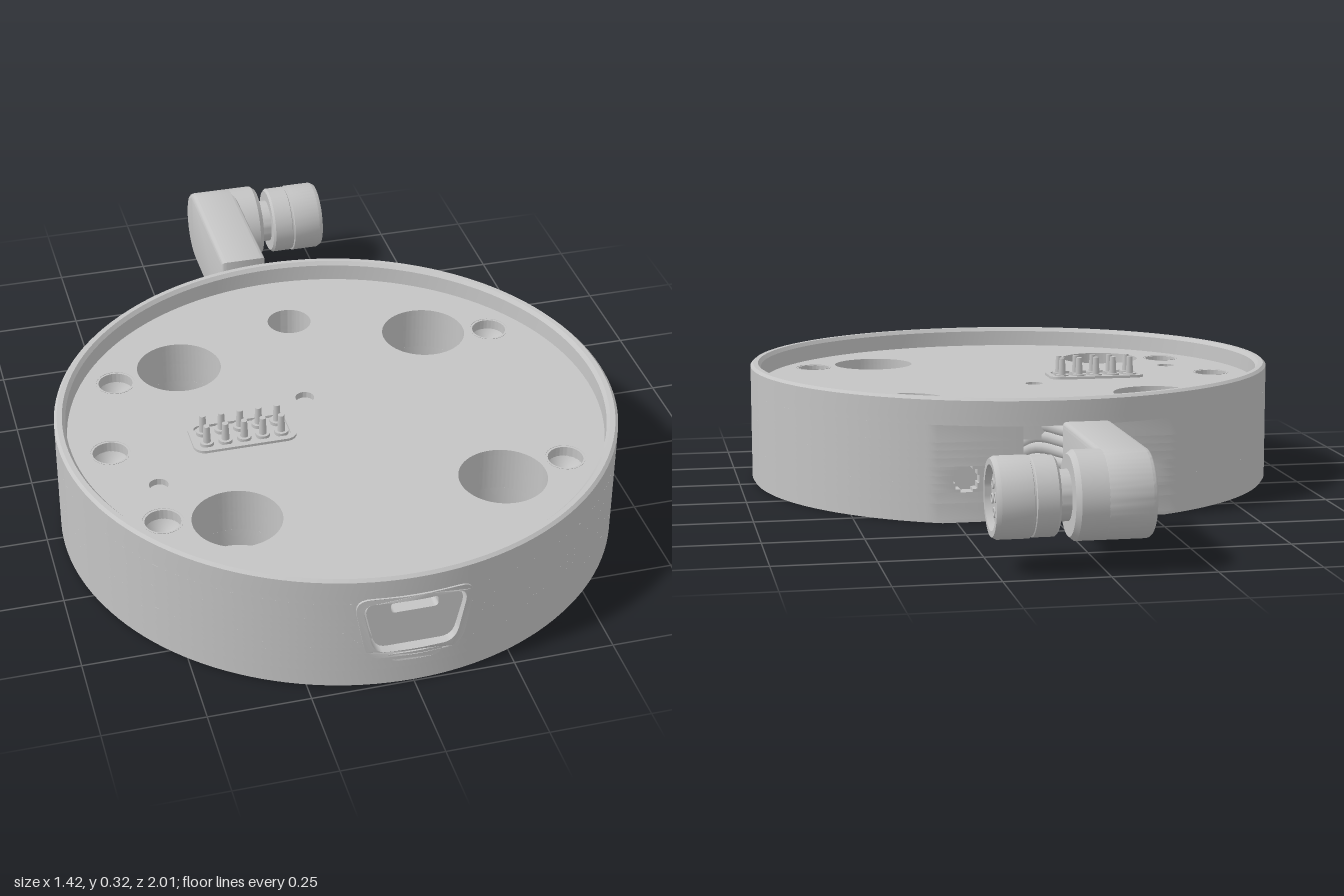
import * as THREE from 'three';
import { toCreasedNormals } from 'three/addons/utils/BufferGeometryUtils.js';

const R = 0.7105, RIN = 0.595, RTOP = 0.6445, BACK = 0.645, CZ = 0.2895, FLOOR = 0.267;
const grey = new THREE.MeshStandardMaterial({ color: 0xc4c4c4, side: THREE.DoubleSide });
grey.name = 'machinedGrey';

// plan coordinates: x to the right, second coordinate towards the back
const V = (x, y) => new THREE.Vector2(x, y);
function arc(r, a0, a1, n) {
  return Array.from({ length: n + 1 }, (_, i) => {
    const a = a0 + (a1 - a0) * i / n;
    return V(r * Math.cos(a), r * Math.sin(a));
  });
}
function disc(r, holes = [], cx = 0, cy = 0) {
  const s = new THREE.Shape().absarc(cx, cy, r, 0, Math.PI * 2);
  for (const [x, y, hr] of holes) s.holes.push(new THREE.Path().absarc(x, y, hr, 0, Math.PI * 2, true));
  return s;
}
function add(parent, name, geo, x = 0, y = 0, z = 0) {
  const m = new THREE.Mesh(geo, grey);
  m.name = name;
  m.position.set(x, y, z);
  parent.add(m);
  return m;
}
// horizontal slab between two heights
function slab(parent, name, shape, y0, y1, segs = 64) {
  const g = new THREE.ExtrudeGeometry(shape, { depth: y1 - y0, bevelEnabled: false, curveSegments: segs });
  g.rotateX(-Math.PI / 2);
  return add(parent, name, toCreasedNormals(g, 0.5), 0, y0, 0);
}
function roundedRect(w, h, r) {
  const s = new THREE.Shape(), a = w / 2, b = h / 2;
  s.absarc(a - r, b - r, r, 0, Math.PI / 2);
  s.absarc(-a + r, b - r, r, Math.PI / 2, Math.PI);
  s.absarc(-a + r, -b + r, r, Math.PI, Math.PI * 1.5);
  s.absarc(a - r, -b + r, r, Math.PI * 1.5, Math.PI * 2);
  return s;
}
// C-shaped wall section: rear flat, cable slot, optional port pocket and screw holes
function wallShape(r, rin, port, hole) {
  const c = Math.sqrt(r * r - BACK * BACK), a = Math.atan2(BACK, c), slot = 0.08;
  const bore = x => hole > 0
    ? [V(x - hole, BACK), V(x - hole, BACK - 0.04), V(x + hole, BACK - 0.04), V(x + hole, BACK)] : [];
  const half = port > 0 ? Math.asin(port / r) : 0;
  const right = arc(r, a, -Math.PI / 2 + half, 64), left = arc(r, -Math.PI / 2 - half, -Math.PI - a, 64);
  const pocket = port > 0 ? [V(port, -0.665), V(-port, -0.665)] : [];
  const b = Math.acos(slot / rin);
  return new THREE.Shape([V(slot, BACK), ...bore(0.225), ...right, ...pocket, ...left,
    ...bore(-0.225), V(-slot, BACK), ...arc(rin, -Math.PI - b, b, 96)]);
}
// trapezoid with rounded corners and finely divided sides
function trapezoid(P, top, bottom, y0, y1) {
  const c = [V(-bottom, y0), V(bottom, y0), V(top, y1), V(-top, y1)];
  const p = new P();
  c.forEach((q, i) => {
    const next = c[(i + 1) % 4], prev = c[(i + 3) % 4], f = i % 2 ? 0.15 : 0.25;
    const before = q.clone().lerp(prev, f), after = q.clone().lerp(next, 0.4 - f);
    if (i) p.lineTo(before.x, before.y); else p.moveTo(before.x, before.y);
    p.quadraticCurveTo(q.x, q.y, after.x, after.y);
    for (const t of [0.4, 0.5, 0.6]) {
      const m = q.clone().lerp(next, t);
      p.lineTo(m.x, m.y);
    }
  });
  p.closePath();
  return p;
}
// plate bent to follow the outer cylinder
function bentPlate(parent, name, shape, depth, proud) {
  const g = new THREE.ExtrudeGeometry(shape, { depth, bevelEnabled: false, curveSegments: 6 });
  const p = g.attributes.position;
  for (let i = 0; i < p.count; i++) {
    const x = p.getX(i);
    p.setZ(i, p.getZ(i) - depth + proud + Math.sqrt(R * R - x * x));
  }
  return add(parent, name, toCreasedNormals(g, 0.5));
}

const bolts = [[0.335, 0.335], [-0.335, 0.335], [0.335, -0.335], [-0.335, -0.335]];
const dimples = [[0.51, 0.305], [-0.51, 0.305], [0.51, -0.3], [-0.51, -0.3], [-0.58, 0.005]];
const vents = [[-0.05, 0.118], [-0.49, -0.155]];
const rearHole = [0, 0.478, 0.058];
// wall layer heights, closer together where the screw holes curve
const heights = [0.05, 0.077, 0.085, 0.1, 0.12, 0.135, 0.143, 0.165, 0.185, 0.205, 0.25];

function buildHousing() {
  const g = new THREE.Group();
  g.name = 'housing';
  // outer wall in layers, so the port pocket and screw holes can be cut
  slab(g, 'bottomChamfer', wallShape(R - 0.005, 0.61, 0, 0), 0, 0.008);
  slab(g, 'bottomLip', wallShape(R, 0.61, 0, 0), 0.008, 0.05);
  for (let i = 0; i < heights.length - 1; i++) {
    const y0 = heights[i], y1 = heights[i + 1], ym = (y0 + y1) / 2;
    const port = ym > 0.1 ? 0.108 + (ym - 0.1) * 0.18 : 0;
    const hole = Math.sqrt(Math.max(0, 0.033 ** 2 - (ym - 0.11) ** 2));
    slab(g, 'wallLayer', wallShape(R, y0 < 0.2 ? RIN : RTOP, port, hole), y0, y1);
  }
  // floor plate with counterbores and blind holes
  const bores = [...bolts.map(b => [...b, 0.11]), rearHole];
  const pits = dimples.map(d => [...d, 0.044]);
  slab(g, 'lowerFloor', disc(0.6, bores), 0.15, 0.205);
  const middle = disc(RTOP, [...bores, ...pits]);
  middle.holes.push(new THREE.Path([V(-0.08, 0.56), V(-0.08, 0.635), V(0.08, 0.635), V(0.08, 0.56)]));
  slab(g, 'middleFloor', middle, 0.205, 0.25);
  slab(g, 'topFloor', disc(R, [...bores, ...pits, ...vents.map(v => [...v, 0.024])]), 0.25, FLOOR);
  const rim = [[0.68, FLOOR], [0.682, 0.31], [0.69, 0.32], [0.703, 0.32], [R, 0.313], [R, FLOOR]];
  add(g, 'topRim', toCreasedNormals(new THREE.LatheGeometry(rim.map(p => V(...p)), 128), 0.4));
  // bosses under the floor, blended into the wall
  for (const [x, y] of bolts) {
    slab(g, 'boltBossFloor', disc(0.155, [[x, y, 0.062]], x, y), 0.05, 0.1, 32);
    slab(g, 'boltBossWall', disc(0.155, [[x, y, 0.11]], x, y), 0.1, 0.15, 32);
    const mid = Math.atan2(y, x);
    for (const side of [-1, 1]) {
      const outer = arc(0.6, mid + side * 0.25, mid + side * 0.47, 6);
      const inner = V(0.51 * Math.cos(mid + side * 0.28), 0.51 * Math.sin(mid + side * 0.28));
      slab(g, 'bossFillet', new THREE.Shape([...outer, inner]), 0.05, 0.15);
    }
  }
  slab(g, 'rearBoss', disc(0.1, [rearHole], 0, 0.478), 0.05, 0.15, 32);
  for (const [x, y] of dimples) {
    slab(g, 'dimpleBoss', disc(0.064, [], x, y), 0.05, 0.15, 24);
    const cone = [V(0, 0.213), V(0.016, 0.213), V(0.044, 0.24), V(0.05, FLOOR + 0.001)];
    add(g, 'dimple', new THREE.LatheGeometry(cone, 32), x, 0, -y);
  }
  // solid land joining the rear flat, rear boss and bolt boss
  add(g, 'rearLand', new THREE.BoxGeometry(0.15, 0.1, 0.22), -0.14, 0.1, -0.49);
  return g;
}

function buildPort() {
  const g = new THREE.Group();
  g.name = 'frontPort';
  const frame = trapezoid(THREE.Shape, 0.148, 0.117, 0.087, 0.264);
  frame.holes.push(trapezoid(THREE.Path, 0.13, 0.1, 0.104, 0.25));
  bentPlate(g, 'portFrame', frame, 0.05, 0.005);
  // flat cover with a narrow slot
  const insert = trapezoid(THREE.Shape, 0.123, 0.094, 0.111, 0.243);
  const slot = roundedRect(0.115, 0.03, 0.01).getPoints(4).map(p => V(p.x, p.y + 0.222));
  insert.holes.push(new THREE.Path(slot));
  const cover = new THREE.ExtrudeGeometry(insert, { depth: 0.035, bevelEnabled: false, curveSegments: 6 });
  add(g, 'portCover', cover, 0, 0, 0.662);
  bentPlate(g, 'portLip', trapezoid(THREE.Shape, 0.07, 0.055, 0.072, 0.095), 0.02, 0.004);
  add(g, 'portHousing', new THREE.BoxGeometry(0.26, 0.1, 0.1), 0, 0.11, 0.56);
  return g;
}

function buildPinHeader() {
  const g = new THREE.Group();
  g.name = 'pinHeader';
  const frame = roundedRect(0.265, 0.125, 0.03);
  frame.holes.push(new THREE.Path(roundedRect(0.235, 0.095, 0.015).getPoints(6)));
  slab(g, 'headerFrame', frame, 0.26, 0.274, 8);
  for (let i = 0; i < 5; i++) for (const z of [-0.0235, 0.0235]) {
    const x = (i - 2) * 0.048;
    add(g, 'pinCollar', new THREE.CylinderGeometry(0.018, 0.018, 0.012, 16), x, 0.27, z);
    add(g, 'pin', new THREE.CylinderGeometry(0.008, 0.011, 0.06, 12), x, 0.292, z);
  }
  g.position.set(-0.243, 0, -0.005);
  return g;
}

function buildCables() {
  const g = new THREE.Group();
  g.name = 'cableBundle';
  for (let i = 0; i < 6; i++) {
    const h = 0.095 + i * 0.028, low = 0.06 + i * 0.016, s = (i - 2.5) * 0.016;
    const pts = [[-0.045, h, -0.83], [-0.03, h, -0.76], [-0.012, h, -0.68], [0.04, h, -0.61],
      [0.13, low, -0.5], [0.15, low, -0.36], [0.2 + s, low, -0.19], [0.36, low, -0.08 + s],
      [0.49 + s, low, 0.04], [0.5 + s, low, 0.2]];
    const curve = new THREE.CatmullRomCurve3(pts.map(p => new THREE.Vector3(...p)));
    add(g, 'cable', new THREE.TubeGeometry(curve, 60, 0.0175, 10));
  }
  add(g, 'cableClamp', new THREE.BoxGeometry(0.17, 0.1, 0.13), 0.03, 0.1, -0.26);
  return g;
}

function buildPlug() {
  const g = new THREE.Group();
  g.name = 'anglePlug';
  // flat moulded arm with a round end
  const b = 0.012, r = 0.105, s = new THREE.Shape();
  s.moveTo(0.515, -r);
  s.lineTo(0.895, -r);
  s.absarc(0.895, 0, r, -Math.PI / 2, Math.PI / 2);
  s.lineTo(0.515, r);
  s.closePath();
  const arm = new THREE.ExtrudeGeometry(s, { depth: 0.125 - 2 * b, bevelThickness: b, bevelSize: b, bevelOffset: -b, bevelSegments: 3, curveSegments: 24 });
  arm.rotateY(Math.PI / 2);
  add(g, 'plugArm', toCreasedNormals(arm, 0.6), -0.11 + b);
  // round elbow, neck and nut along x
  const turned = (name, z, pts) => {
    const geo = new THREE.LatheGeometry(pts.map(p => V(p[1], p[0])), 48);
    add(g, name, toCreasedNormals(geo.rotateZ(-Math.PI / 2), 0.5), 0, 0, z);
  };
  turned('plugElbow', -0.895, [[-0.05, 0.105], [0.068, 0.105], [0.08, 0.095], [0.08, 0]]);
  turned('plugNeck', -0.89, [[0.07, 0.06], [0.115, 0.06]]);
  turned('plugNut', -0.89, [[0.11, 0], [0.11, 0.088], [0.116, 0.094], [0.166, 0.094], [0.168, 0.091], [0.172, 0.091],
    [0.174, 0.096], [0.248, 0.096], [0.259, 0.09], [0.259, 0.076], [0.225, 0.074], [0.225, 0.064],
    [0.245, 0.064], [0.245, 0]]);
  for (let i = 0; i < 8; i++) {
    const a = i * Math.PI * 2 / 7, d = i < 7 ? 0.042 : 0;
    const socket = new THREE.TorusGeometry(0.01, 0.003, 8, 16).rotateY(Math.PI / 2);
    add(g, 'contact', socket, 0.246, d * Math.cos(a), -0.89 + d * Math.sin(a));
  }
  g.position.y = 0.17;
  return g;
}

export function createModel() {
  const model = new THREE.Group();
  model.name = 'mountingPuck';
  const body = new THREE.Group();
  body.name = 'puckBody';
  body.add(buildHousing(), buildPort(), buildPinHeader(), buildCables());
  // thin plate under the floor
  const label = slab(body, 'undersidePlate', roundedRect(0.23, 0.5, 0.02), 0.142, 0.15, 6);
  label.position.set(-0.13, 0.142, 0.1);
  label.rotation.y = 0.49;
  body.position.z = CZ;
  model.add(body, buildPlug());
  return model;
}
